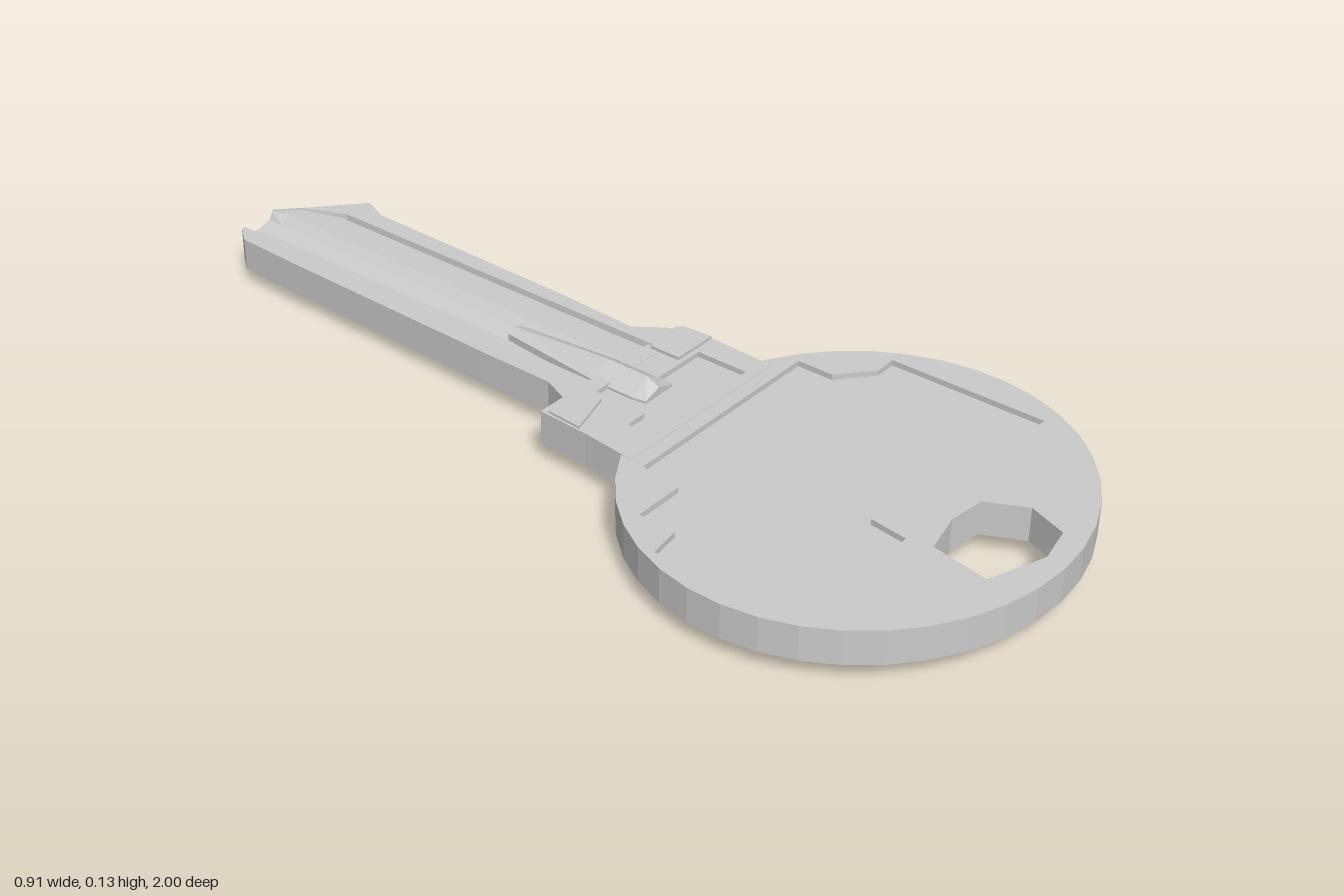
import * as THREE from 'three';

const metal = new THREE.MeshStandardMaterial({ color: 0xcccccc, flatShading: true, side: THREE.DoubleSide });

// Plan outline given as [x, z] pairs, extruded upward from y0 to y1
function slab(name, outline, y0, y1, holes = []) {
  const toV = ([x, z]) => new THREE.Vector2(x, -z);
  const shape = new THREE.Shape(outline.map(toV));
  holes.forEach(h => shape.holes.push(new THREE.Path(h.map(toV))));
  const geo = new THREE.ExtrudeGeometry(shape, { depth: y1 - y0, bevelEnabled: false });
  geo.rotateX(-Math.PI / 2).translate(0, y0, 0);
  const mesh = new THREE.Mesh(geo, metal);
  mesh.name = name;
  return mesh;
}

// Skin through cross-sections { z, pts: [x, y] clockwise }, ordered from +z to -z
function loft(name, sections) {
  const n = sections[0].pts.length, pos = [], idx = [];
  sections.forEach(s => s.pts.forEach(([x, y]) => pos.push(x, y, s.z)));
  for (let s = 0; s < sections.length - 1; s++) {
    for (let i = 0; i < n; i++) {
      const a = s * n + i, b = s * n + (i + 1) % n;
      idx.push(a, b, b + n, a, b + n, a + n);
    }
  }
  [0, sections.length - 1].forEach(s => {
    const ring = sections[s].pts.map(p => new THREE.Vector2(...p));
    THREE.ShapeUtils.triangulateShape(ring, []).forEach(t => {
      const f = t.map(i => i + s * n);
      idx.push(...(s === 0 ? f.reverse() : f));
    });
  });
  const indexed = new THREE.BufferGeometry();
  indexed.setAttribute('position', new THREE.Float32BufferAttribute(pos, 3));
  indexed.setIndex(idx);
  const geo = indexed.toNonIndexed();
  geo.computeVertexNormals();
  const mesh = new THREE.Mesh(geo, metal);
  mesh.name = name;
  return mesh;
}

export function createModel() {
  const key = new THREE.Group();
  key.name = 'key';

  // Bow: faceted oval, cut flat where it meets the collar
  const oval = [];
  const start = -Math.PI / 2 + 0.5, sweep = 2 * Math.PI - 1;
  for (let i = 0; i <= 32; i++) {
    const a = start + sweep * i / 32;
    oval.push([0.455 * Math.cos(a), 0.57 + 0.426 * Math.sin(a)]);
  }
  const ringHole = [[-0.09, 0.79], [0, 0.77], [0.08, 0.78], [0.12, 0.86], [0.09, 0.94], [0.01, 0.955], [-0.11, 0.91]];
  const panel = [
    [-0.22, 0.25], [-0.23, 0.34], [-0.34, 0.34], [-0.34, 0.42], [-0.41, 0.43], [-0.41, 0.66],
    [-0.35, 0.66], [-0.34, 0.74], [-0.1, 0.74], [-0.09, 0.66], [0.14, 0.64], [0.14, 0.73],
    [0.38, 0.73], [0.38, 0.39], [0.33, 0.39], [0.26, 0.33], [0.26, 0.25],
  ];
  key.add(slab('bowBase', oval, 0.038, 0.098, [ringHole]));
  key.add(slab('bowRim', oval, 0.098, 0.11, [panel, ringHole]));

  // Collar between bow and blade, with a stepped recess in its upper face
  const collar = [[-0.2, -0.015], [0.21, -0.015], [0.22, 0.02], [0.212, 0.22], [-0.217, 0.22], [-0.205, 0.1]];
  const recess = [[-0.13, 0.2], [-0.13, 0.14], [-0.08, 0.14], [-0.08, 0.02], [0.03, 0.02], [0.03, 0.08], [0.16, 0.08], [0.16, 0.2]];
  key.add(slab('collarBase', collar, 0.04, 0.1));
  key.add(slab('collarTop', collar, 0.1, 0.111, [recess]));
  key.add(slab('collarPadRight', [[0.11, 0], [0.21, 0], [0.215, 0.07], [0.11, 0.07]], 0.111, 0.118));
  key.add(slab('collarPadLeft', [[-0.195, 0], [-0.1, 0], [-0.1, 0.05], [-0.2, 0.08]], 0.111, 0.116));

  // Blade: grooved section, narrowed to the outline [z, left x, right x]
  const stations = [
    [0.02, -0.16, 0.2], [-0.02, -0.13, 0.19], [-0.08, -0.105, 0.145], [-0.25, -0.105, 0.155],
    [-0.8, -0.095, 0.165], [-0.86, -0.093, 0.19], [-0.96, -0.09, 0.075], [-1, -0.06, 0.03],
  ];
  const profile = [
    [-1, 0.105], [-0.05, 0.105], [-0.04, 0.085], [-0.015, 0.085], [0.02, 0.095], [0.04, 0.112],
    [0.105, 0.112], [0.107, 0.095], [0.118, 0.095], [0.12, 0.115], [1, 0.115],
    [1, 0.06], [-0.03, 0.06], [-0.06, 0.032], [-1, 0.032],
  ];
  key.add(loft('blade', stations.map(([z, left, right]) => ({
    z, pts: profile.map(([x, y]) => [THREE.MathUtils.clamp(x, left, right), y]),
  }))));

  // Tapered ridge above and keel below the root of the blade
  const ridge = [[0.11, 0.04, 0.118], [0.08, 0.045, 0.132], [-0.02, 0.045, 0.132], [-0.26, 0.02, 0.112]];
  key.add(loft('upperRidge', ridge.map(([z, w, top]) => ({
    z, pts: [[-w, 0.09], [-w, 0.105], [0, top], [w, 0.105], [w, 0.09]],
  }))));
  const keel = [[0.14, 0.055, 0.034], [0.1, 0.06, 0.014], [0, 0.06, 0.002], [-0.09, 0.06, 0], [-0.34, 0.045, 0.032]];
  key.add(loft('lowerKeel', keel.map(([z, w, low]) => ({
    z, pts: [[0.01 - w, 0.065], [0.01 + w, 0.065], [0.01 + w, 0.038], [0.012, low], [0.01 - w, 0.038]],
  }))));

  return key;
}
